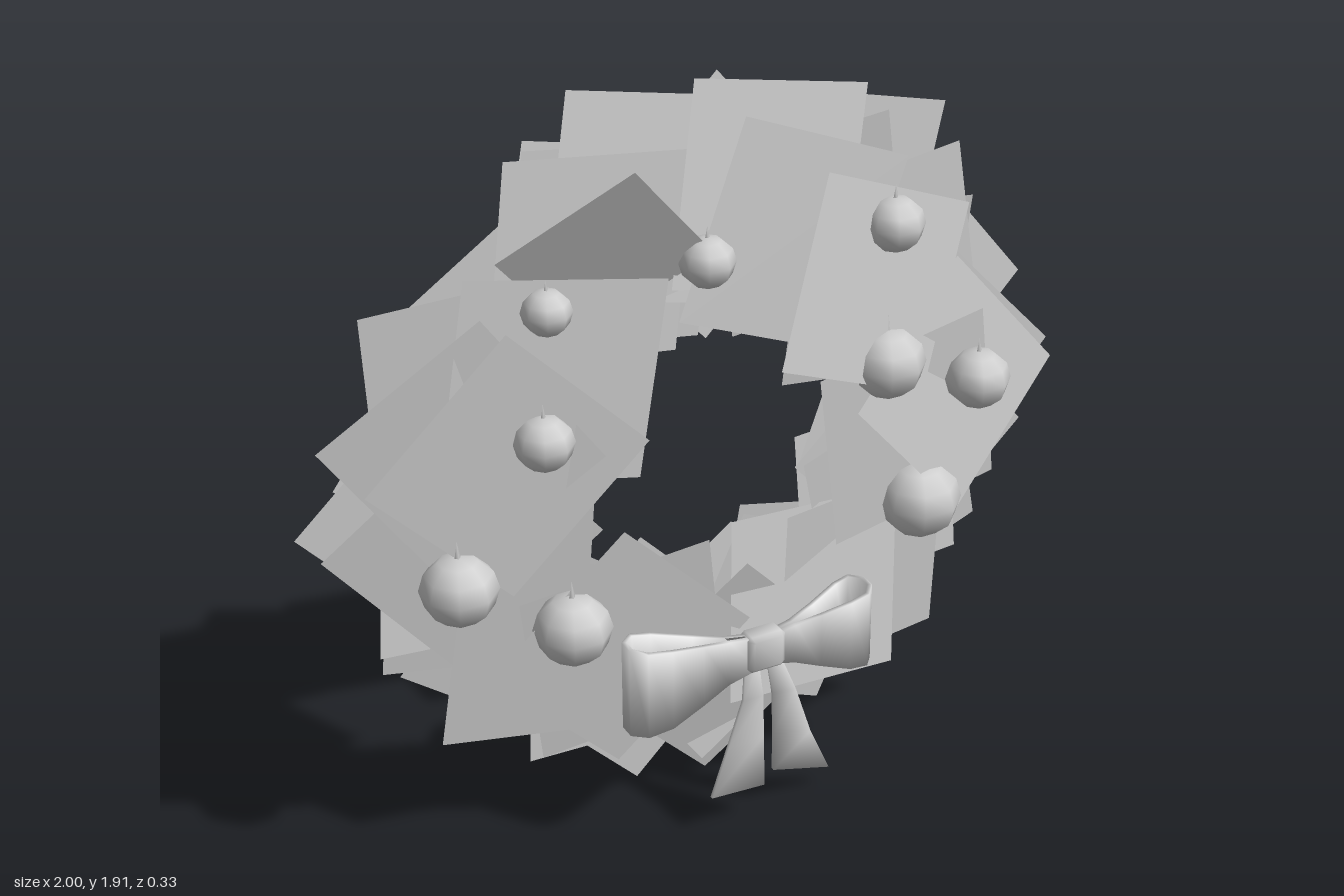
import * as THREE from 'three';
import { toCreasedNormals } from 'three/addons/utils/BufferGeometryUtils.js';

const grey = new THREE.MeshStandardMaterial({ color: 0xcccccc, side: THREE.DoubleSide });
grey.name = 'plain grey';

function add(parent, name, geometry, x = 0, y = 0, z = 0) {
  const mesh = new THREE.Mesh(geometry, grey);
  mesh.name = name;
  mesh.position.set(x, y, z);
  parent.add(mesh);
  return mesh;
}

// Thin smooth ribbon through sections [centreX, centreY, centreZ, halfWidthX, halfWidthY]
function ribbon(sections, thickness) {
  const centres = sections.map(s => new THREE.Vector3(s[0], s[1], s[2]));
  const rings = sections.map((s, i) => {
    const c = centres[i], w = new THREE.Vector3(s[3], s[4], 0);
    const along = centres[Math.min(i + 1, centres.length - 1)].clone().sub(centres[Math.max(i - 1, 0)]);
    const n = along.cross(w).normalize().multiplyScalar(thickness / 2);
    return [c.clone().add(w).add(n), c.clone().sub(w).add(n), c.clone().sub(w).sub(n), c.clone().add(w).sub(n)];
  });
  const pos = [];
  const quad = (a, b, c, d) => [a, b, c, a, c, d].forEach(p => pos.push(p.x, p.y, p.z));
  for (let i = 0; i < rings.length - 1; i++) {
    for (let j = 0; j < 4; j++) {
      const k = (j + 1) % 4;
      quad(rings[i][j], rings[i][k], rings[i + 1][k], rings[i + 1][j]);
    }
  }
  quad(...[...rings[0]].reverse());
  quad(...rings[rings.length - 1]);
  const g = new THREE.BufferGeometry();
  g.setAttribute('position', new THREE.Float32BufferAttribute(pos, 3));
  return toCreasedNormals(g, Math.PI);
}

function seeded(seed) {
  return () => {
    seed = (seed * 16807) % 2147483647;
    return seed / 2147483647;
  };
}

export function createModel() {
  const model = new THREE.Group();
  model.name = 'wreath';
  const random = seeded(41);

  // Foliage: flat square cards overlapping in a ring
  const foliage = new THREE.Group();
  foliage.name = 'foliage';
  model.add(foliage);
  const card = (name, x, y, z, size, turn, rx, ry) => {
    const m = add(foliage, name, new THREE.PlaneGeometry(size, size), x, y, z);
    m.rotation.set(rx, ry, THREE.MathUtils.degToRad(turn));
  };

  // Cards that stand out: x, y, z, size, turn, tilt x, tilt y
  [
    [-0.525, 1.10, 0.02, 0.48, 45, 0.02, -0.08],
    [-0.40, 1.28, 0.00, 0.49, -10, -0.04, -0.08],
    [-0.27, 1.56, 0.01, 0.37, 40, 0.40, -0.12],
    [0.43, 1.34, 0.02, 0.47, -22, -0.14, 0.20],
    [0.23, 1.49, -0.02, 0.49, -23, -0.05, 0.08],
    [0.54, 0.93, 0.01, 0.48, 8, 0.03, 0.08],
    [0.68, 1.01, 0.00, 0.46, 42, -0.14, 0.20],
    [0.28, 0.53, 0.01, 0.48, -4, -0.12, 0.06],
    [-0.25, 0.53, 0.01, 0.48, 45, 0.08, -0.06],
    [0.06, 0.35, -0.04, 0.49, 42, 0.22, 0.03],
    [-0.14, 0.39, -0.12, 0.50, 44, 0.02, 0.03],
    [-0.65, 0.96, -0.11, 0.49, 43, 0.00, -0.02],
    [0.42, 1.52, -0.13, 0.48, -15, -0.05, 0.06],
  ].forEach(c => card('leadingLeaf', ...c));

  // Cards filling the outline, sloping back outwards: x, y, z, size, turn
  [
    [-0.28, 1.54, -0.04, 0.48, -8], [-0.12, 1.64, -0.07, 0.48, -12], [0.18, 1.62, -0.05, 0.48, -12],
    [-0.20, 1.53, -0.10, 0.47, -7], [0.52, 1.35, -0.08, 0.46, 8], [0.61, 1.24, -0.09, 0.46, 40],
    [0.67, 1.03, -0.05, 0.47, 44], [0.60, 0.83, -0.08, 0.47, 42], [0.54, 0.72, -0.06, 0.48, 14],
    [0.44, 0.53, -0.03, 0.49, 0], [0.24, 0.45, -0.08, 0.48, -24], [-0.21, 0.48, -0.05, 0.49, 8],
    [-0.41, 0.53, -0.06, 0.48, -7], [-0.55, 0.78, -0.07, 0.49, -4], [-0.61, 0.88, -0.06, 0.48, 40],
    [-0.62, 1.14, -0.02, 0.47, 36], [-0.57, 1.27, -0.06, 0.49, 3],
  ].forEach(([x, y, z, size, turn]) => {
    const slope = 0.04 + random() * 0.14;
    card('fillingLeaf', x, y, z, size, turn,
      -slope * (y - 0.97) / 0.6 + (random() - 0.5) * 0.12, slope * x / 0.6 + (random() - 0.5) * 0.12);
  });

  // Back layer, a little deeper at the top
  const backCount = 13;
  for (let i = 0; i < backCount; i++) {
    const a = i / backCount * Math.PI * 2;
    const z = -0.1 - 0.035 * Math.max(Math.sin(a), 0) - random() * 0.015;
    card('backLeaf', Math.cos(a) * 0.59, 0.97 + Math.sin(a) * 0.59, z, 0.46,
      random() * 90, (random() - 0.5) * 0.2, (random() - 0.5) * 0.2);
  }

  // Baubles with small hooks: x, y, z, radius
  [
    [-0.42, 1.465, 0.015, 0.057], [-0.03, 1.51, 0.035, 0.064], [0.485, 1.48, 0.00, 0.071],
    [-0.45, 1.16, 0.045, 0.069], [0.46, 1.135, 0.025, 0.092], [0.71, 1.04, 0.045, 0.078],
    [-0.66, 0.82, 0.015, 0.09], [-0.385, 0.64, 0.03, 0.092], [0.57, 0.73, 0.02, 0.102],
  ].forEach(([x, y, z, r]) => {
    const bauble = new THREE.Group();
    bauble.name = 'bauble';
    bauble.position.set(x, y, z);
    const ball = add(bauble, 'baubleBall', new THREE.SphereGeometry(r, 8, 6));
    ball.rotation.y = Math.PI / 8;
    ball.scale.set(1.04, 0.95, 1.04);
    add(bauble, 'baubleHook', new THREE.ConeGeometry(r * 0.09, r * 0.5, 4), 0, r * 1.15, 0);
    model.add(bauble);
  });

  // Bow
  const bow = new THREE.Group();
  bow.name = 'bow';
  bow.position.set(0.08, 0.485, 0.11);
  model.add(bow);

  // Loop path: distance from knot, depth, half height
  const loopPath = [
    [0.02, 0.008, 0.045], [0.10, 0.012, 0.06], [0.18, 0.030, 0.083], [0.27, 0.047, 0.108],
    [0.33, 0.042, 0.117], [0.36, 0.012, 0.12], [0.36, -0.025, 0.12], [0.33, -0.052, 0.117],
    [0.28, -0.047, 0.108], [0.18, -0.022, 0.083], [0.10, -0.010, 0.06], [0.02, -0.008, 0.045],
  ];
  for (const [name, side, length, height] of [['rightLoop', -1, 1.0, 1.0], ['leftLoop', 1, 0.81, 0.88]]) {
    add(bow, name, ribbon(loopPath.map(([d, z, h]) =>
      [side * d * length, -d * (side < 0 ? 0.015 : 0), z, 0, h * height]), 0.012));
  }

  // Tails flare towards the bottom, leaving a narrow gap between them
  add(bow, 'rightTail', ribbon([
    [-0.03, -0.03, 0.0, 0.018, 0], [-0.035, -0.12, 0.016, 0.027, 0],
    [-0.055, -0.24, 0.018, 0.049, 0.003], [-0.083, -0.372, 0.03, 0.073, -0.004],
  ], 0.01));
  add(bow, 'leftTail', ribbon([
    [0.03, -0.03, 0.0, 0.018, 0], [0.055, -0.13, 0.01, 0.032, -0.004],
    [0.08, -0.26, 0.008, 0.052, -0.013], [0.115, -0.39, -0.005, 0.08, -0.022],
  ], 0.01));

  // Knot: a softly rounded block
  const knot = new THREE.Shape();
  knot.moveTo(-0.05, -0.04).lineTo(-0.04, -0.05).lineTo(0.04, -0.05).lineTo(0.05, -0.04);
  knot.lineTo(0.05, 0.04).lineTo(0.04, 0.05).lineTo(-0.04, 0.05).lineTo(-0.05, 0.04);
  const knotGeometry = new THREE.ExtrudeGeometry(knot, {
    depth: 0.04, bevelEnabled: true, bevelThickness: 0.012, bevelSize: 0.012, bevelOffset: -0.012, bevelSegments: 1,
  });
  add(bow, 'knot', toCreasedNormals(knotGeometry, 1.2), 0, 0.005, -0.02);

  return model;
}
